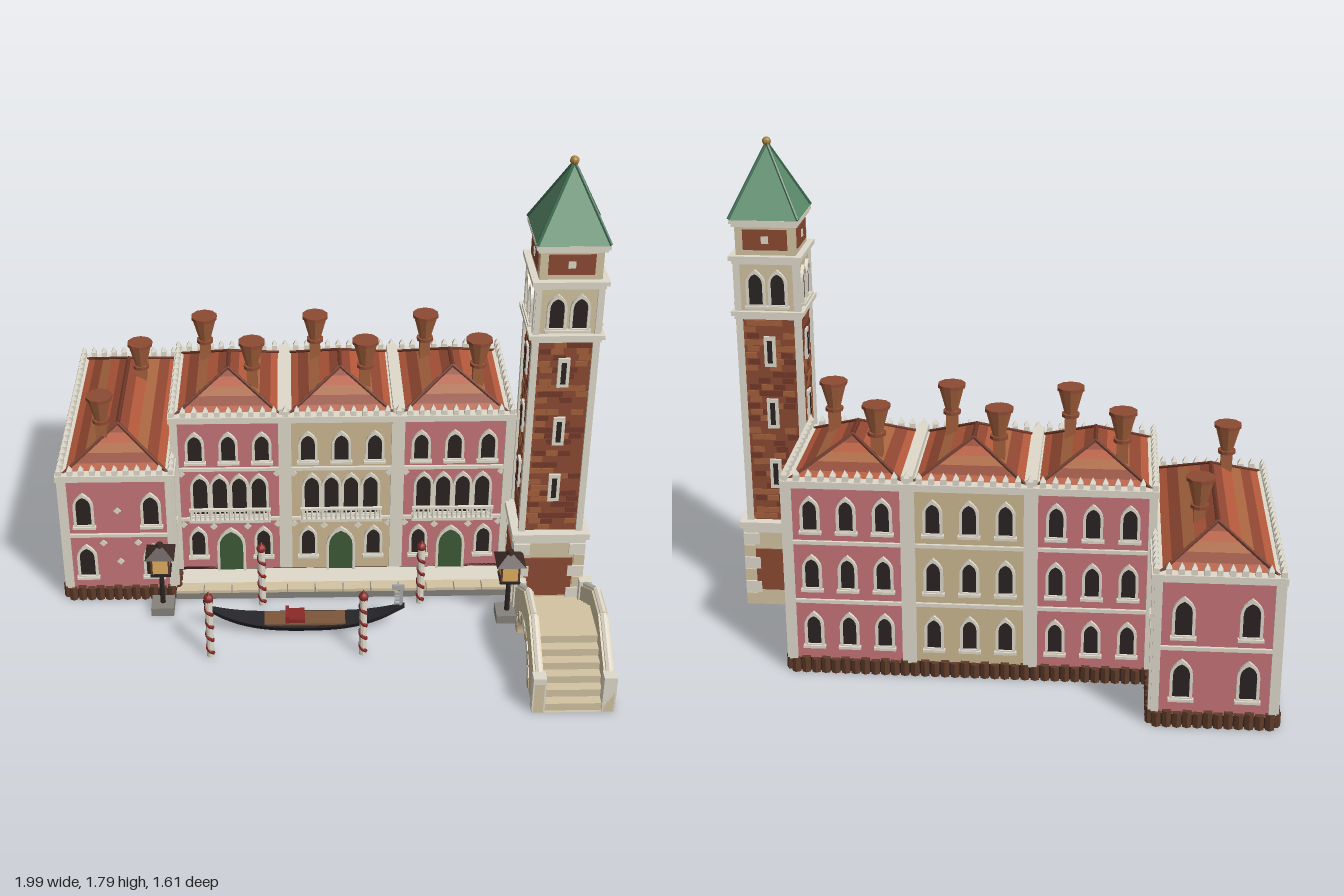
import * as THREE from 'three';

const C = { pink: 0xc67478, beige: 0xcdb892, cream: 0xdfdacb, stone: 0xd2c3a2, brick: 0x8c4a33, brickB: 0xa4603c, brickC: 0x74392a,
  roofA: 0xb3583a, roofB: 0x8f4630, roofC: 0xa9663f, rib: 0x6b3526, green: 0x5c8f6c, greenDark: 0x3d6a50, dark: 0x2a2422,
  wood: 0x5f3b29, base: 0x35201a, red: 0x8a2a28, grey: 0x85827c, gold: 0xa8803a, black: 0x26262a, lamp: 0xe0b060, door: 0x3e5a38 };
const mats = {};
const mat = (c) => (mats[c] ??= new THREE.MeshStandardMaterial({ color: c, flatShading: true, side: THREE.DoubleSide }));

function add(parent, name, geo, color, x = 0, y = 0, z = 0) {
  const m = new THREE.Mesh(geo, mat(color));
  m.name = name;
  m.position.set(x, y, z);
  parent.add(m);
  return m;
}
function group(parent, name, x = 0, y = 0, z = 0, ry = 0) {
  const g = new THREE.Group();
  g.name = name;
  g.position.set(x, y, z);
  g.rotation.y = ry;
  parent.add(g);
  return g;
}
// Box standing on y
const box = (p, name, w, h, d, x, y, z, c) => add(p, name, new THREE.BoxGeometry(w, h, d), c, x, y + h / 2, z);
const cyl = (p, name, rt, rb, h, n, x, y, z, c) => add(p, name, new THREE.CylinderGeometry(rt, rb, h, n), c, x, y + h / 2, z);
const pyramid = (p, name, half, h, x, y, z, c) =>
  add(p, name, new THREE.ConeGeometry(half * Math.SQRT2, h, 4).rotateY(Math.PI / 4), c, x, y + h / 2, z);
function rod(p, name, a, b, r, c) {
  const A = new THREE.Vector3(...a), d = new THREE.Vector3(...b).sub(A);
  const m = add(p, name, new THREE.CylinderGeometry(r, r, d.length(), 6), c);
  m.position.copy(A).addScaledVector(d, 0.5);
  m.quaternion.setFromUnitVectors(new THREE.Vector3(0, 1, 0), d.normalize());
}

// Pointed arch opening
function arch(w, h, grow = 0, S = THREE.Shape) {
  const s = new S(), a = w / 2 + grow, spring = h - w * 0.75;
  s.moveTo(-a, -grow);
  s.lineTo(a, -grow);
  s.lineTo(a, spring);
  s.quadraticCurveTo(a, h - w * 0.2, 0, h + grow * 1.6);
  s.quadraticCurveTo(-a, h - w * 0.2, -a, spring);
  return s;
}
const extrude = (s, depth) => new THREE.ExtrudeGeometry(s, { depth, bevelEnabled: false, curveSegments: 4 });
function archWindow(p, x, y, w, h, paneColor = C.dark, name = 'window') {
  const g = group(p, name, x, y, 0);
  const frame = arch(w, h, 0.01);
  frame.holes.push(arch(w, h, 0, THREE.Path));
  add(g, 'frame', extrude(frame, 0.012), C.cream);
  add(g, 'pane', extrude(arch(w, h), 0.004), paneColor);
  box(g, 'sill', w + 0.03, 0.01, 0.018, 0, -0.014, 0.009, C.cream);
}
const diamond = (p, x, y) => add(p, 'diamond', new THREE.BoxGeometry(0.02, 0.02, 0.006).rotateZ(Math.PI / 4), C.cream, x, y, 0.002);

// Hipped roof of tile courses, with ribs and ridge
function hipRoof(p, x, z, hx, hz, rz, y0, y1) {
  const g = group(p, 'roof', x, 0, z), n = 5;
  const ring = (t) => {
    const a = hx * (1 - t), b = hz + (rz - hz) * t, y = y0 + (y1 - y0) * t;
    return [[-a, y, b], [a, y, b], [a, y, -b], [-a, y, -b]];
  };
  for (let i = 0; i < n; i++) {
    const lo = ring(i / n), hi = ring((i + 1) / n), v = [];
    for (let k = 0; k < 4; k++) {
      const j = (k + 1) % 4;
      v.push(...lo[k], ...lo[j], ...hi[j], ...lo[k], ...hi[j], ...hi[k]);
    }
    const geo = new THREE.BufferGeometry();
    geo.setAttribute('position', new THREE.Float32BufferAttribute(v, 3));
    geo.computeVertexNormals();
    add(g, 'tileCourse', geo, [C.roofA, C.roofB, C.roofC][i % 3]);
  }
  ring(0).forEach((q, k) => rod(g, 'hipRib', q, ring(1)[k], 0.007, C.rib));
  rod(g, 'ridge', [0, y1, -rz], [0, y1, rz], 0.009, C.rib);
}

// Cornice and pointed merlons around a rectangle
function parapet(p, x0, x1, z0, z1, y) {
  const g = group(p, 'parapet');
  const w = x1 - x0, d = z1 - z0, cx = (x0 + x1) / 2, cz = (z0 + z1) / 2;
  box(g, 'cornice', w + 0.03, 0.025, d + 0.03, cx, y - 0.025, cz, C.cream);
  const merlon = (x, z) => {
    box(g, 'merlon', 0.02, 0.02, 0.02, x, y, z, C.cream);
    pyramid(g, 'merlonTip', 0.01, 0.022, x, y + 0.02, z, C.cream);
  };
  const nx = Math.round(w / 0.042), nz = Math.round(d / 0.042);
  for (let i = 0; i <= nx; i++) for (const z of [z0, z1]) merlon(x0 + (w * i) / nx, z);
  for (let i = 1; i < nz; i++) for (const x of [x0, x1]) merlon(x, z0 + (d * i) / nz);
}
function pilings(p, length) {
  const n = Math.round(length / 0.034);
  for (let i = 0; i < n; i++) cyl(p, 'piling', 0.017, 0.017, 0.052 + 0.006 * (i % 2), 6, -length / 2 + (length * (i + 0.5)) / n, 0, 0.004, C.wood);
}
function chimney(p, x, z, y, top) {
  const g = group(p, 'chimney', x, 0, z);
  box(g, 'shaft', 0.04, top - 0.1 - y, 0.04, 0, y, 0, C.brickB);
  cyl(g, 'collar', 0.032, 0.032, 0.012, 10, 0, top - 0.112, 0, C.brick);
  cyl(g, 'pot', 0.046, 0.022, 0.09, 10, 0, top - 0.1, 0, C.brickB);
  cyl(g, 'rim', 0.05, 0.05, 0.012, 10, 0, top - 0.012, 0, C.brick);
}

function palaces(root) {
  const g = group(root, 'palaces'), H = 0.72, z0 = -0.52, z1 = -0.01, cz = -0.265;
  const mid = [-0.364, 0.058, 0.481], W = 0.422;
  mid.forEach((cx, i) => {
    const h = group(g, 'house');
    box(h, 'walls', W, H - 0.04, z1 - z0, cx, 0.04, cz, i === 1 ? C.beige : C.pink);
    box(h, 'foundation', W, 0.05, z1 - z0, cx, 0, cz, C.base);
    const f = group(h, 'frontFacade', cx, 0, z1), b = group(h, 'backFacade', cx, 0, z0, Math.PI);
    for (const x of [-0.125, 0, 0.125]) {
      archWindow(f, x, 0.54, 0.052, 0.11);
      for (const y of [0.11, 0.33, 0.55]) archWindow(b, x, y, 0.048, 0.11);
      if (x) archWindow(f, x, 0.11, 0.05, 0.115);
    }
    for (const x of [-0.111, -0.037, 0.037, 0.111]) archWindow(f, x, 0.3, 0.054, 0.165);
    archWindow(f, 0, 0.035, 0.09, 0.185, C.door, 'door');
    for (const x of [-0.18, 0.18]) for (const y of [0.25, 0.48]) diamond(f, x, y);
    for (const x of [-0.065, 0.065]) diamond(f, x, 0.24);
    // Balcony
    box(f, 'balconyFloor', 0.31, 0.012, 0.035, 0, 0.278, 0.018, C.cream);
    box(f, 'balconyRail', 0.31, 0.01, 0.012, 0, 0.33, 0.03, C.cream);
    for (let k = 0; k < 17; k++) cyl(f, 'baluster', 0.004, 0.005, 0.04, 6, -0.148 + k * 0.0185, 0.29, 0.03, C.cream);
    for (const face of [f, b]) {
      for (const y of [0.27, 0.495]) box(face, 'stringCourse', W, 0.013, 0.012, 0, y, 0.004, C.cream);
      for (const s of [-1, 1]) box(face, 'cornerStrip', 0.028, H - 0.05, 0.02, s * (W / 2 - 0.01), 0.05, 0.004, C.cream);
    }
    pilings(b, W);
    hipRoof(h, cx, cz, 0.198, 0.24, 0.065, 0.725, 0.832);
    chimney(h, cx - 0.092, -0.375, 0.74, 0.96);
    chimney(h, cx + 0.092, -0.16, 0.74, 0.965);
    if (i) box(h, 'roofDivider', 0.04, 0.035, 0.5, cx - W / 2, 0.72, cz, C.cream);
  });
  const r = group(g, 'rightFacade', 0.692, 0, cz, Math.PI / 2);
  for (const x of [-0.142, 0, 0.142]) for (const y of [0.1, 0.315, 0.53]) archWindow(r, x, y, 0.05, 0.115);
  for (const y of [0.27, 0.495]) box(r, 'stringCourse', 0.51, 0.013, 0.012, 0, y, 0.004, C.cream);
  for (const s of [-1, 1]) box(r, 'cornerStrip', 0.026, 0.66, 0.02, s * 0.245, 0.05, 0.004, C.cream);
  pilings(r, 0.51);
  parapet(g, -0.57, 0.69, z0, z1, H + 0.012);
}

function wing(root) {
  const g = group(root, 'wing'), cx = -0.778, cz = -0.34, w = 0.41, d = 0.9, H = 0.55;
  box(g, 'walls', w, H - 0.04, d, cx, 0.04, cz, C.pink);
  box(g, 'foundation', w, 0.05, d, cx, 0, cz, C.base);
  const faces = [[0, w, d, [-0.125, 0.125]], [1, d, w, []], [2, w, d, [-0.11, 0.11]], [3, d, w, [-0.33, -0.11, 0.11, 0.33]]];
  for (const [k, len, deep, xs] of faces) {
    const a = (k * Math.PI) / 2;
    const f = group(g, 'facade', cx + Math.sin(a) * deep / 2, 0, cz + Math.cos(a) * deep / 2, a);
    for (const x of xs) for (const y of [0.11, 0.34]) archWindow(f, x, y, 0.056, 0.125);
    box(f, 'stringCourse', len, 0.013, 0.012, 0, 0.285, 0.004, C.cream);
    for (const s of [-1, 1]) box(f, 'cornerStrip', 0.026, H - 0.06, 0.018, s * (len / 2 - 0.01), 0.055, 0.003, C.cream);
    if (k === 0) for (const [x, y] of [[-0.06, 0.255], [0.07, 0.255], [0, 0.4], [0, 0.17]]) diamond(f, x, y);
    pilings(f, len);
  }
  hipRoof(g, cx, cz, 0.192, 0.435, 0.25, 0.555, 0.66);
  parapet(g, cx - 0.205, cx + 0.205, cz - 0.45, cz + 0.45, H + 0.01);
  chimney(g, -0.72, -0.5, 0.58, 0.78);
  chimney(g, -0.835, -0.055, 0.57, 0.8);
}

function tower(root) {
  const g = group(root, 'bellTower', 0.826, 0, 0.087);
  const slab = (name, half, y, h, c = C.cream) => box(g, name, half * 2, h, half * 2, 0, y, 0, c);
  slab('base', 0.125, 0, 0.31, C.stone);
  slab('baseCornice', 0.132, 0.305, 0.025);
  slab('baseCorniceTop', 0.143, 0.325, 0.025);
  slab('shaft', 0.108, 0.34, 0.82, C.brick);
  slab('lowerCornice', 0.122, 1.145, 0.015);
  slab('belfryFloor', 0.132, 1.16, 0.016);
  slab('belfry', 0.113, 1.17, 0.19, C.stone);
  slab('belfryCornice', 0.122, 1.35, 0.015);
  slab('belfryCorniceTop', 0.132, 1.365, 0.016);
  slab('attic', 0.108, 1.38, 0.11, C.stone);
  slab('atticCornice', 0.118, 1.485, 0.013);
  slab('eaves', 0.125, 1.497, 0.014);
  let seed = 7;
  const rnd = () => (seed = (seed * 16807) % 2147483647) / 2147483647;
  for (let k = 0; k < 4; k++) {
    const a = (k * Math.PI) / 2, s = group(g, 'towerSide', 0, 0, 0, a);
    // Base panel and quoins
    box(s, 'basePanel', 0.18, 0.17, 0.008, 0, 0.065, 0.126, C.brick);
    for (let i = 0; i < 6; i++) for (const e of [-1, 1])
      box(s, 'quoin', 0.04 + 0.02 * (i % 2), 0.046, 0.016, e * (0.113 - 0.01 * (i % 2)), 0.004 + i * 0.05, 0.125, i % 2 ? C.cream : C.stone);
    // Scattered bricks
    for (let i = 0; i < 32; i++) for (let j = 0; j < 4; j++) {
      const q = rnd();
      if (q > 0.45) box(s, 'brick', 0.043, 0.021, 0.006, -0.066 + j * 0.044 + (i % 2 ? 0.005 : -0.005), 0.355 + i * 0.0246, 0.108, q > 0.72 ? C.brickB : C.brickC);
    }
    for (const e of [-1, 1]) box(s, 'cornerPilaster', 0.024, 0.8, 0.018, e * 0.106, 0.35, 0.109, C.cream);
    for (const y of [0.54, 0.78, 1.02]) {
      box(s, 'slitFrame', 0.042, 0.115, 0.012, 0, y - 0.057, 0.112, C.cream);
      box(s, 'slit', 0.018, 0.085, 0.012, 0, y - 0.042, 0.114, C.dark);
    }
    const b = group(s, 'belfryArches', 0, 0, 0.113);
    for (const e of [-1, 1]) {
      archWindow(b, e * 0.04, 1.2, 0.05, 0.115);
      box(b, 'belfryPilaster', 0.02, 0.175, 0.014, e * 0.106, 1.175, 0, C.cream);
    }
    box(s, 'atticPanel', 0.16, 0.075, 0.008, 0, 1.4, 0.108, C.brick);
    box(s, 'atticOpening', 0.026, 0.026, 0.014, 0, 1.425, 0.108, C.cream);
    const p = [0.124 * Math.SQRT2 * Math.sin(a + Math.PI / 4), 1.515, 0.124 * Math.SQRT2 * Math.cos(a + Math.PI / 4)];
    rod(g, 'spireRib', p, [0, 1.765, 0], 0.006, C.greenDark);
  }
  pyramid(g, 'spire', 0.124, 0.255, 0, 1.511, 0, C.green);
  add(g, 'finial', new THREE.SphereGeometry(0.016, 10, 8), C.gold, 0, 1.77, 0);
}

function bridge(root) {
  const g = group(root, 'bridge');
  const outline = (pts) => {
    const s = new THREE.Shape();
    s.moveTo(0.8, 0);
    for (const [z, y] of pts) s.lineTo(z, y);
    s.lineTo(0.2, 0);
    s.lineTo(0.36, 0);
    s.absellipse(0.505, 0, 0.145, 0.125, Math.PI, 0, true);
    return s;
  };
  const along = (name, s, xRight, width, c) => add(g, name, new THREE.ExtrudeGeometry(s, { depth: width, bevelEnabled: false, curveSegments: 14 }).rotateY(-Math.PI / 2), c, xRight, 0, 0);
  const steps = [];
  for (let i = 0; i < 6; i++) steps.push([0.79 - i * 0.037, 0.03 * i], [0.79 - i * 0.037, 0.03 * (i + 1)]);
  for (let i = 0; i < 5; i++) steps.push([0.43 - i * 0.04, 0.18 - 0.025 * i], [0.43 - i * 0.04, 0.155 - 0.025 * i]);
  steps.push([0.2, 0.055]);
  along('steps', outline(steps), 0.96, 0.23, C.stone);
  const rail = outline([[0.8, 0.125], [0.76, 0.13], [0.575, 0.25], [0.435, 0.25], [0.25, 0.13], [0.2, 0.125]]);
  for (const x of [0.722, 0.967]) {
    along('parapet', rail, x + 0.0175, 0.035, C.stone);
    for (const z of [0.778, 0.228]) box(g, 'endPier', 0.046, 0.148, 0.044, x, 0, z, C.cream);
    for (const [a, b] of [[[0.76, 0.136], [0.575, 0.252]], [[0.575, 0.252], [0.435, 0.252]], [[0.435, 0.252], [0.25, 0.136]]])
      rod(g, 'coping', [x, a[1], a[0]], [x, b[1], b[0]], 0.012, C.cream);
    for (let i = 0; i < 11; i++) {
      const t = ((i + 0.5) / 11) * Math.PI;
      const v = add(g, 'voussoir', new THREE.BoxGeometry(0.042, 0.034, 0.036), i % 2 ? C.cream : 0xb9a684, x, 0.143 * Math.sin(t), 0.505 + 0.163 * Math.cos(t));
      v.rotation.x = Math.PI / 2 - t;
    }
  }
}

function gondola(root) {
  const g = group(root, 'gondola', -0.085, 0, 0.315), n = 24, v = [], idx = [];
  // Hull from five-point cross-sections
  for (let i = 0; i <= n; i++) {
    const u = (2 * i) / n - 1, e = Math.abs(u);
    const w = 0.05 * Math.pow(1 - e * e, 0.8) + 0.003, top = 0.042 + 0.07 * e ** 3, low = 0.004 + 0.085 * e ** 3;
    for (const [a, y] of [[-1, top], [-0.7, (top + low * 2) / 3], [0, low], [0.7, (top + low * 2) / 3], [1, top]]) v.push(u * 0.37, y, a * w);
    if (i) for (let k = 0; k < 5; k++) {
      const a = (i - 1) * 5 + k, b = (i - 1) * 5 + ((k + 1) % 5);
      idx.push(a, b, a + 5, b, b + 5, a + 5);
    }
  }
  const geo = new THREE.BufferGeometry();
  geo.setAttribute('position', new THREE.Float32BufferAttribute(v, 3));
  geo.setIndex(idx);
  geo.computeVertexNormals();
  add(g, 'hull', geo, C.black);
  box(g, 'floorboards', 0.3, 0.008, 0.078, 0, 0.043, 0, 0x7d573a);
  box(g, 'seat', 0.07, 0.018, 0.07, -0.035, 0.05, 0, C.red);
  box(g, 'seatBack', 0.012, 0.03, 0.07, -0.065, 0.05, 0, C.red);
  rod(g, 'stern', [-0.36, 0.1, 0], [-0.37, 0.135, 0], 0.007, C.black);
  box(g, 'prowBlade', 0.012, 0.09, 0.008, 0.357, 0.095, 0, 0xaaaaaa);
  box(g, 'prowCap', 0.045, 0.02, 0.008, 0.345, 0.175, 0, 0xaaaaaa);
  for (let i = 0; i < 4; i++) box(g, 'prowTooth', 0.022, 0.007, 0.008, 0.343, 0.108 + i * 0.016, 0, 0xaaaaaa);
}

function mooringPole(root, x, z) {
  const g = group(root, 'mooringPole', x, 0, z), pts = [];
  for (let i = 0; i <= 40; i++) pts.push(new THREE.Vector3(0.008 * Math.cos(i * 0.63), 0.012 + i * 0.0058, 0.008 * Math.sin(i * 0.63)));
  cyl(g, 'post', 0.014, 0.014, 0.25, 10, 0, 0, 0, C.cream);
  add(g, 'stripe', new THREE.TubeGeometry(new THREE.CatmullRomCurve3(pts), 60, 0.0095, 6), C.red);
  add(g, 'knob', new THREE.SphereGeometry(0.018, 10, 8), C.red, 0, 0.258, 0);
  cyl(g, 'tip', 0, 0.01, 0.02, 8, 0, 0.27, 0, C.red);
}

function lantern(root, x, z) {
  const g = group(root, 'lantern', x, 0, z);
  box(g, 'plinth', 0.085, 0.035, 0.085, 0, 0, 0, C.grey);
  cyl(g, 'post', 0.008, 0.01, 0.15, 8, 0, 0.035, 0, C.dark);
  box(g, 'tray', 0.075, 0.01, 0.075, 0, 0.178, 0, C.dark);
  box(g, 'glass', 0.064, 0.075, 0.064, 0, 0.188, 0, C.lamp);
  for (const a of [-1, 1]) for (const b of [-1, 1]) box(g, 'bar', 0.007, 0.075, 0.007, a * 0.032, 0.188, b * 0.032, C.wood);
  pyramid(g, 'hood', 0.054, 0.04, 0, 0.262, 0, 0x3a2824);
  cyl(g, 'hoodTip', 0.012, 0.016, 0.016, 8, 0, 0.29, 0, 0x3a2824);
}

export function createModel() {
  const root = new THREE.Group();
  root.name = 'canalScene';
  palaces(root);
  wing(root);
  tower(root);
  bridge(root);
  gondola(root);
  // Quay with paving edge
  box(root, 'quay', 1.275, 0.028, 0.14, 0.063, 0, 0.06, C.grey);
  box(root, 'quayPaving', 1.275, 0.01, 0.09, 0.063, 0.028, 0.035, C.cream);
  for (let i = 0; i < 12; i++) box(root, 'quayEdgeStone', 0.102, 0.012, 0.05, -0.521 + i * 0.1062, 0.028, 0.106, C.stone);
  for (const [x, z] of [[-0.245, 0.165], [0.355, 0.165], [-0.43, 0.465], [0.125, 0.465]]) mooringPole(root, x, z);
  lantern(root, -0.62, 0.19);
  lantern(root, 0.675, 0.262);
  return root;
}
